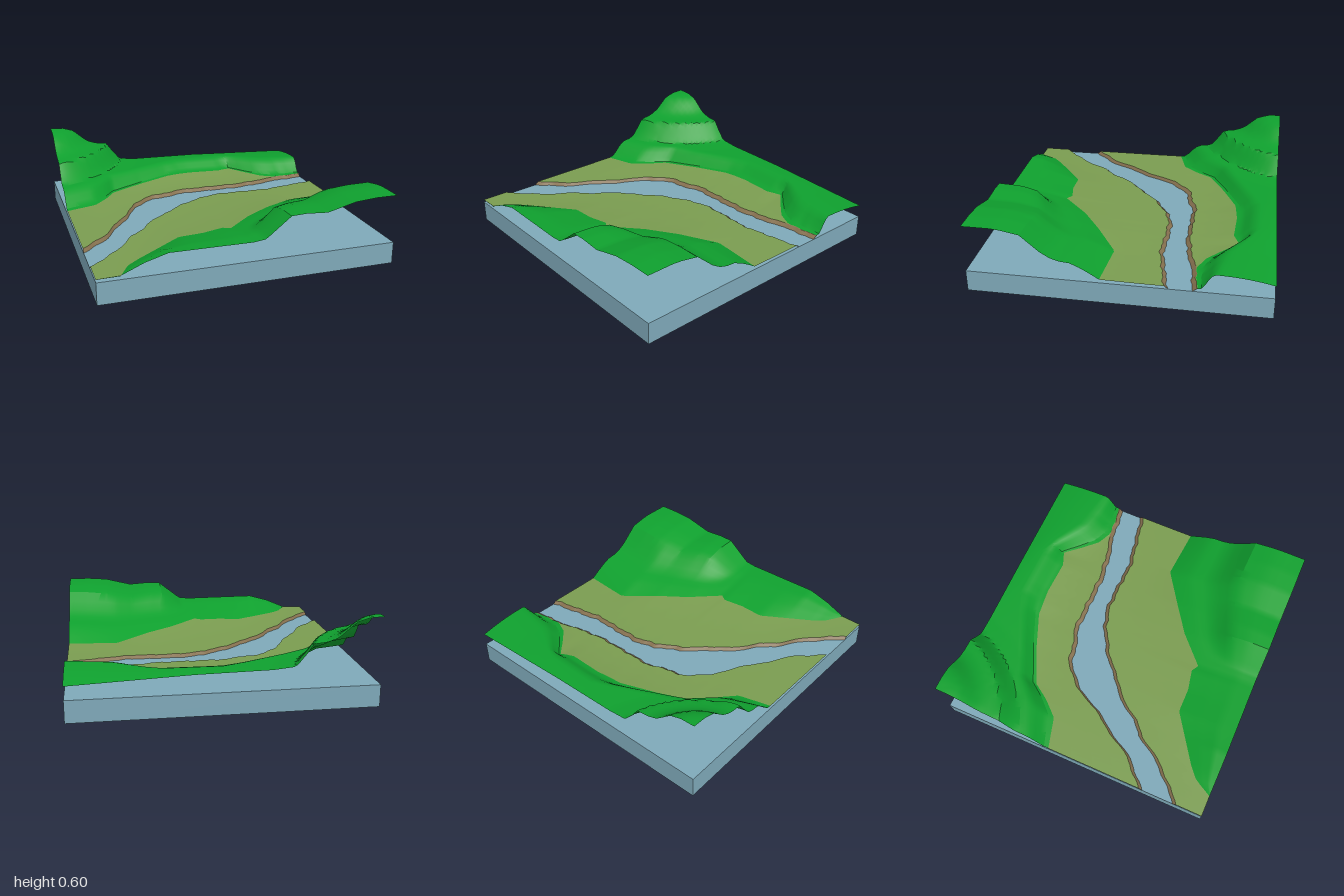
import * as THREE from 'three';
import { toCreasedNormals } from 'three/addons/utils/BufferGeometryUtils.js';

const COLORS = { water: 0x7ea8b8, earth: 0x85704f, grass: 0x7a9c50, forest: 0x0fa02e };
const STEPS = 80;

// piecewise linear curve through [t, value] points
function curve(points) {
  return t => {
    if (t <= points[0][0]) return points[0][1];
    for (let i = 1; i < points.length; i++) {
      const [a, va] = points[i - 1], [b, vb] = points[i];
      if (t <= b) return va + (vb - va) * (t - a) / (b - a);
    }
    return points[points.length - 1][1];
  };
}
const mix = THREE.MathUtils.lerp;

// small repeatable roughness
const rough = t => Math.sin(t * 37.1) * 0.5 + Math.sin(t * 71.7 + 1.3) * 0.5;

// river shores, meadow limits and hill crests as z over x
const northShore = curve([[-1, 0.55], [-0.9, 0.45], [-0.82, 0.38], [-0.72, 0.2], [-0.6, 0.03], [-0.5, -0.17],
  [-0.33, -0.32], [-0.2, -0.33], [-0.1, -0.38], [0.4, -0.38], [0.5, -0.4], [0.65, -0.42], [0.7, -0.45], [1, -0.48]]);
const northMeadow = curve([[-1, -0.19], [-0.78, -0.25], [-0.68, -0.36], [-0.6, -0.48], [-0.35, -0.6], [-0.1, -0.7],
  [0.1, -0.72], [0.35, -0.71], [0.45, -0.75], [0.55, -0.64], [0.65, -0.54], [0.78, -0.48], [1, -0.52]]);
const northCrest = curve([[-1, -0.36], [-0.75, -0.48], [-0.6, -0.61], [-0.4, -0.7], [-0.15, -0.82], [0, -0.88],
  [0.38, -0.87], [0.5, -0.82], [0.7, -0.7], [1, -0.63]]);
const southShore = curve([[-1, 0.78], [-0.9, 0.69], [-0.75, 0.53], [-0.65, 0.37], [-0.55, 0.28], [-0.45, 0.13],
  [-0.32, 0.03], [-0.18, -0.1], [0.03, -0.22], [0.17, -0.26], [0.38, -0.26], [0.57, -0.25], [1, -0.33]]);
const southMeadow = curve([[-1, 1], [-0.85, 1], [-0.78, 0.87], [-0.7, 0.8], [-0.37, 0.57], [-0.2, 0.57], [-0.05, 0.54],
  [0, 0.57], [0.2, 0.38], [0.4, 0.24], [0.64, 0.08], [1, 0.11]]);

// heights along the curves
const northMeadowY = curve([[-1, 0.175], [-0.6, 0.18], [0, 0.205], [0.4, 0.2], [0.7, 0.175], [1, 0.17]]);
const northEdgeY = curve([[-1, 0.285], [-0.4, 0.285], [0.2, 0.275], [1, 0.24]]);
const southMeadowY = curve([[-1, 0.17], [-0.7, 0.175], [0, 0.21], [0.4, 0.2], [0.65, 0.175], [1, 0.175]]);
const southEdgeY = curve([[-1, 0.17], [-0.85, 0.175], [-0.7, 0.24], [-0.55, 0.283], [0, 0.28], [0.08, 0.29],
  [0.25, 0.425], [0.35, 0.43], [0.5, 0.42], [0.7, 0.47], [0.85, 0.482], [1, 0.482]]);

// stepped peak rising at the back corner
const peak = curve([[0, 0.315], [0.1, 0.31], [0.18, 0.285], [0.29, 0.19], [0.36, 0.165], [0.45, 0.155],
  [0.5, 0.085], [0.56, 0.012], [0.7, 0]]);
function peakAt(x, z) {
  const p = 1.5;
  return peak(Math.pow(Math.pow(x + 1, p) + Math.pow(Math.max(0, z + 1), p), 1 / p));
}

// cross-sections from the water outwards: bank, meadow and hill, each a list of [z, y]
function northSection(x) {
  const shore = northShore(x) + rough(x) * 0.008;
  const top = shore - 0.03;
  const limit = Math.min(northMeadow(x), top - 0.002);
  const limitY = northMeadowY(x), crest = northCrest(x);
  const meadow = [[top, 0.172]], hill = [];
  for (let i = 1; i <= 4; i++) {
    const s = i / 4;
    meadow.push([mix(top, limit, s), mix(0.172, limitY, s * s)]);
  }
  const slope = [0, 0.05, 0.3, 0.65, 0.9, 1];
  slope.forEach((f, i) => hill.push([mix(limit, crest, i / 5), mix(limitY, 0.283, f)]));
  for (let i = 1; i <= 14; i++) hill.push([mix(crest, -1, i / 14), mix(0.283, northEdgeY(x), (i / 14) ** 2)]);
  hill.forEach((p, i) => { if (i) p[1] += peakAt(x, p[0]); });
  return { bank: [[shore, 0.148], [top, 0.172]], meadow, hill };
}

const lowWest = curve([[0, 0], [0.35, 0.45], [0.7, 0.85], [1, 1]]);
const lowEast = curve([[0, 0], [0.1, 0.5], [0.2, 0.92], [0.35, 1], [1, 1]]);
const upper = curve([[0, 0], [0.33, 0.03], [0.43, 0.3], [0.57, 0.85], [0.75, 1], [1, 1]]);
function southSection(x) {
  const shore = southShore(x) + rough(x + 3) * 0.008;
  const top = shore + 0.028;
  const limit = southMeadow(x), limitY = southMeadowY(x), edge = southEdgeY(x);
  const meadow = [[top, 0.17]], hill = [];
  for (let i = 1; i <= 5; i++) {
    const s = i / 5;
    meadow.push([mix(top, limit, s), mix(0.17, limitY, s * s)]);
  }
  const shelf = Math.min(0.282, edge), east = THREE.MathUtils.clamp(x, 0, 1);
  for (let i = 0; i <= 14; i++) {
    const s = i / 14;
    const low = mix(lowWest(s), lowEast(s), east);
    hill.push([mix(limit, 1, s), mix(limitY, shelf, low) + (edge - shelf) * upper(s)]);
  }
  return { bank: [[shore, 0.148], [top, 0.17]], meadow, hill };
}

// joins the cross-sections of one part along x into a sheet
function sheet(name, section, part, color, flip) {
  const pos = [], index = [];
  let n = 0;
  for (let i = 0; i <= STEPS; i++) {
    const x = -1 + 2 * i / STEPS;
    const row = section(x)[part];
    n = row.length;
    row.forEach(([z, y]) => pos.push(x, y, z));
  }
  for (let i = 0; i < STEPS; i++) {
    for (let j = 0; j < n - 1; j++) {
      const a = i * n + j, b = a + 1, c = a + n, d = c + 1;
      if (flip) index.push(a, c, b, b, c, d);
      else index.push(a, b, c, b, d, c);
    }
  }
  const geo = new THREE.BufferGeometry();
  geo.setAttribute('position', new THREE.Float32BufferAttribute(pos, 3));
  geo.setIndex(index);
  const mesh = new THREE.Mesh(toCreasedNormals(geo, 0.5),
    new THREE.MeshStandardMaterial({ color, side: THREE.DoubleSide }));
  mesh.name = name;
  return mesh;
}

export function createModel() {
  const model = new THREE.Group();
  model.name = 'riverValley';

  // water slab under the whole landscape
  const water = new THREE.Mesh(new THREE.BoxGeometry(2, 0.15, 2),
    new THREE.MeshStandardMaterial({ color: COLORS.water }));
  water.position.y = 0.075;
  water.name = 'waterSlab';
  model.add(water);

  // thin land sheets on both sides of the river
  for (const [side, section, flip] of [['north', northSection, true], ['south', southSection, false]]) {
    const land = new THREE.Group();
    land.name = side + 'Land';
    land.add(
      sheet(side + 'Bank', section, 'bank', COLORS.earth, flip),
      sheet(side + 'Meadow', section, 'meadow', COLORS.grass, flip),
      sheet(side + 'Hills', section, 'hill', COLORS.forest, flip),
    );
    model.add(land);
  }
  return model;
}
